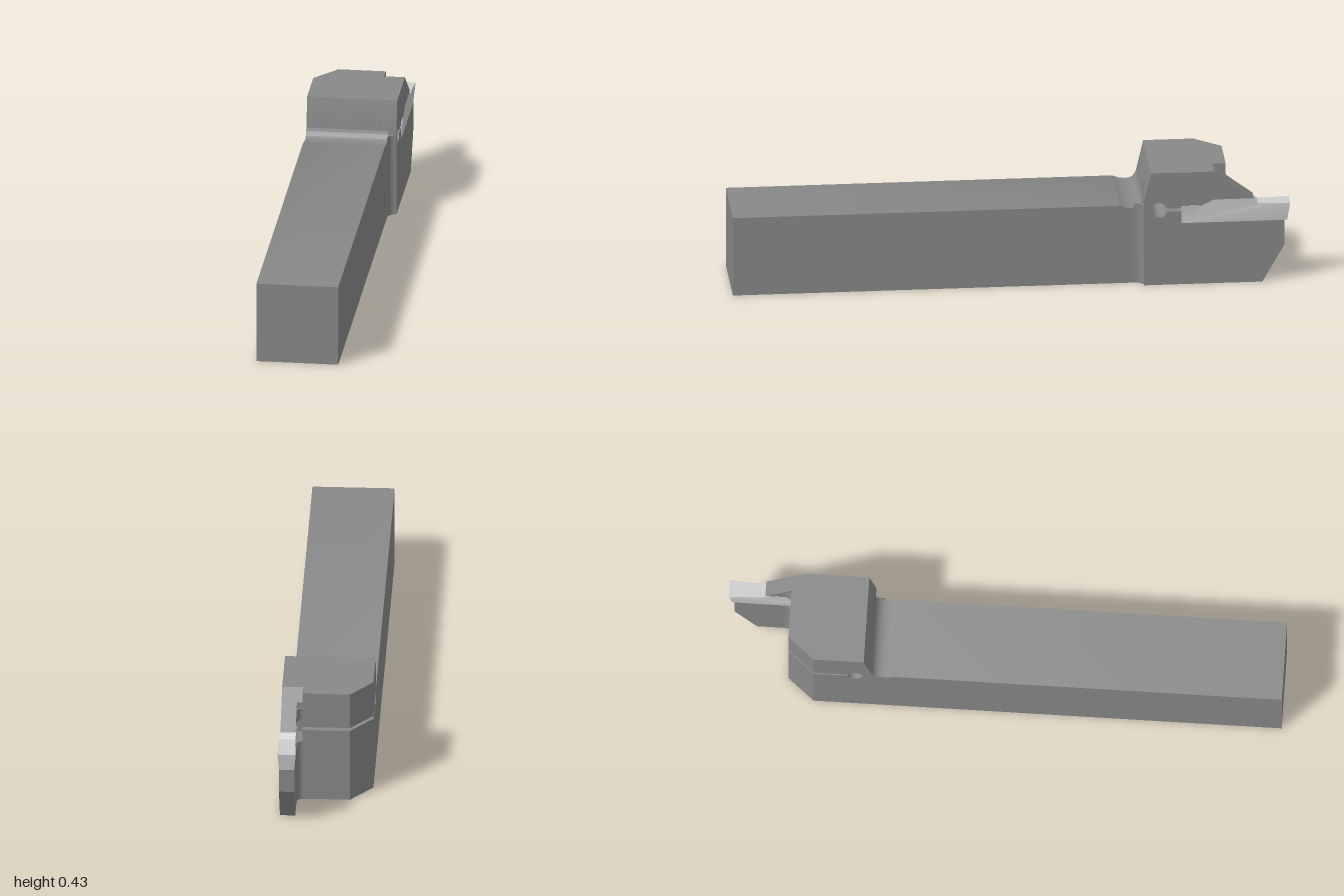
import * as THREE from 'three';
import { toCreasedNormals } from 'three/addons/utils/BufferGeometryUtils.js';

const steel = new THREE.MeshStandardMaterial({ color: 0x888888 });
const carbide = new THREE.MeshStandardMaterial({ color: 0xcccccc });

// Side profiles are drawn as (s, y) with s = -z, and extruded from x0 to x1.
function sideExtrude(shape, x0, x1, rule) {
  const geo = new THREE.ExtrudeGeometry(shape, { depth: x1 - x0, bevelEnabled: false, curveSegments: 20 });
  geo.rotateY(Math.PI / 2).translate(x0, 0, 0);
  if (rule) {
    const p = geo.attributes.position;
    const v = new THREE.Vector3();
    for (let i = 0; i < p.count; i++) {
      rule(v.fromBufferAttribute(p, i));
      p.setXYZ(i, v.x, v.y, v.z);
    }
  }
  return toCreasedNormals(geo, 0.5);
}

// Concave vertical fillet in the corner (x, s), reaching dx and ds along the two walls.
function filletGeometry(x, s, dx, ds, y0, y1) {
  const shape = new THREE.Shape();
  shape.moveTo(x, s);
  shape.lineTo(x + dx, s);
  shape.quadraticCurveTo(x, s, x, s + ds);
  shape.closePath();
  const geo = new THREE.ExtrudeGeometry(shape, { depth: y1 - y0, bevelEnabled: false, curveSegments: 10 });
  geo.rotateX(-Math.PI / 2).translate(0, y0, 0);
  return toCreasedNormals(geo, 0.5);
}

// Head slice: lower jaw points, keyhole relief, upper jaw points, sloped front.
function headProfile(lower, upper) {
  const shape = new THREE.Shape();
  shape.moveTo(0.475, 0);
  lower.forEach(([s, y]) => shape.lineTo(s, y));
  shape.absarc(0.53, 0.287, 0.028, -0.22, 0.22 - Math.PI * 2, true);
  upper.forEach(([s, y]) => shape.lineTo(s, y));
  shape.lineTo(0.5, 0.43);
  shape.lineTo(0.475, 0.32);
  shape.closePath();
  return shape;
}

export function createModel() {
  const group = new THREE.Group();
  const add = (name, geo, material = steel) => {
    const mesh = new THREE.Mesh(geo, material);
    mesh.name = name;
    group.add(mesh);
  };

  // Square shank with a rounded groove before the head
  const shank = new THREE.Shape();
  shank.moveTo(-1, 0);
  shank.lineTo(0.475, 0);
  shank.lineTo(0.475, 0.32);
  shank.quadraticCurveTo(0.466, 0.287, 0.435, 0.287);
  shank.quadraticCurveTo(0.41, 0.287, 0.39, 0.298);
  shank.lineTo(-1, 0.298);
  shank.closePath();
  add('shank', sideExtrude(shank, -0.165, 0.13));
  add('shankFillet', filletGeometry(0.13, 0.475, 0.03, -0.035, 0, 0.305));

  // Head block with the clamping slot, and its chamfered corner
  const block = headProfile(
    [[0.775, 0], [0.775, 0.281]],
    [[0.775, 0.293], [0.775, 0.43]]
  );
  add('headCorner', sideExtrude(block, -0.165, -0.085, (v) => {
    if (v.x < -0.12 && v.z < -0.7) v.z = -0.68;
  }));
  add('headBlock', sideExtrude(block, -0.085, 0.085));

  // Pocket wall between block and blade
  const pocket = headProfile(
    [[0.775, 0], [0.775, 0.235], [0.7, 0.235], [0.7, 0.281]],
    [[0.7, 0.322], [0.775, 0.322], [0.775, 0.394], [0.727, 0.43]]
  );
  add('pocketWall', sideExtrude(pocket, 0.085, 0.105));

  // Thin blade holding the insert
  const blade = headProfile(
    [[0.9, 0], [0.98, 0.14], [0.98, 0.235], [0.61, 0.235], [0.61, 0.281]],
    [[0.61, 0.293], [0.61, 0.3], [0.68, 0.3], [0.727, 0.322], [0.87, 0.322], [0.727, 0.43]]
  );
  add('blade', sideExtrude(blade, 0.105, 0.16));
  add('lowerBladeFillet', filletGeometry(0.105, 0.775, -0.025, 0.03, 0, 0.235));
  add('upperBladeFillet', filletGeometry(0.105, 0.775, -0.025, 0.03, 0.322, 0.37));

  // Double-ended cutting insert: wide cutting ends, narrower waist, tapering downward
  const insert = new THREE.Shape([
    [0.61, 0.235], [0.67, 0.235], [0.92, 0.235], [0.99, 0.235], [1, 0.302], [0.92, 0.302],
    [0.885, 0.302], [0.86, 0.322], [0.727, 0.322], [0.68, 0.3], [0.61, 0.302]
  ].map(([s, y]) => new THREE.Vector2(s, y)));
  add('cuttingInsert', sideExtrude(insert, 0.1, 0.164, (v) => {
    const waist = v.z < -0.64 && v.z > -0.95;
    const half = waist ? 0.0275 : v.y > 0.27 ? 0.033 : 0.0265;
    v.x = 0.132 + Math.sign(v.x - 0.132) * half;
  }), carbide);

  return group;
}
